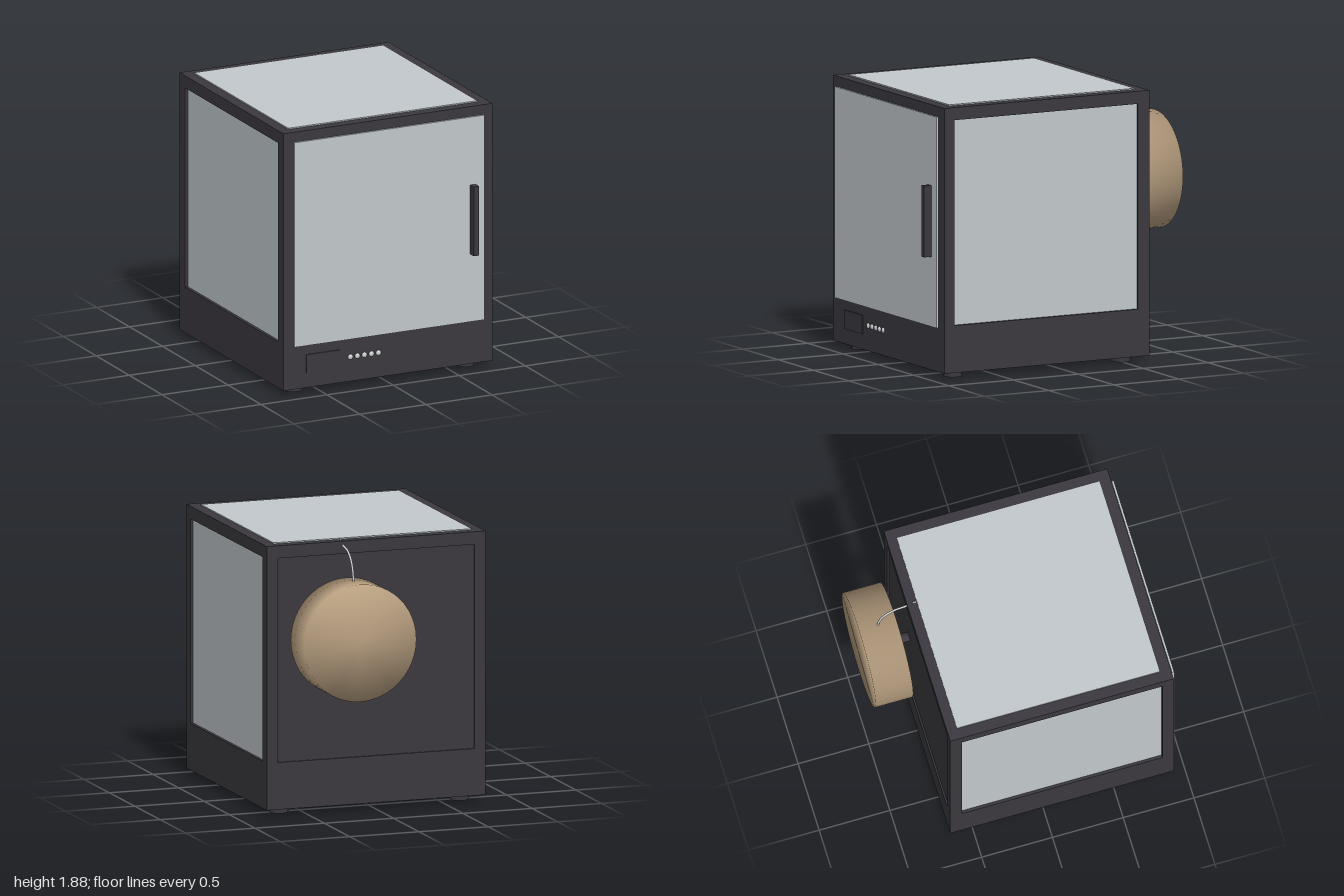
import * as THREE from 'three';
import { mergeVertices } from 'three/addons/utils/BufferGeometryUtils.js';

const paint = (name, color) => {
  const m = new THREE.MeshStandardMaterial({ color });
  m.name = name;
  return m;
};

export function createModel() {
  const model = new THREE.Group();
  model.name = 'printerEnclosure';
  const dark = paint('charcoal', 0x3b393f);
  const pane = paint('paleGlass', 0xc2c9cc);
  const tan = paint('tanFilament', 0xb89f80);
  const silver = paint('silver', 0xd0d2d4);

  const add = (name, geometry, material, x = 0, y = 0, z = 0) => {
    const mesh = new THREE.Mesh(geometry, material);
    mesh.name = name;
    mesh.position.set(x, y, z);
    model.add(mesh);
    return mesh;
  };
  // Box given by its lower and upper limits on each axis
  const box = (name, material, [x0, x1], [y0, y1], [z0, z1]) =>
    add(name, new THREE.BoxGeometry(x1 - x0, y1 - y0, z1 - z0), material,
      (x0 + x1) / 2, (y0 + y1) / 2, (z0 + z1) / 2);

  // Flat frame with a rectangular opening, extruded along z
  const frame = (u0, u1, a0, a1, depth) => {
    const rect = (Type, l, r, b, t) => {
      const p = new Type();
      p.moveTo(l, b);
      p.lineTo(r, b);
      p.lineTo(r, t);
      p.lineTo(l, t);
      p.closePath();
      return p;
    };
    const shape = rect(THREE.Shape, u0, u1, 0.045, 1.867);
    shape.holes.push(rect(THREE.Path, a0, a1, 0.37, 1.78));
    return new THREE.ExtrudeGeometry(shape, { depth, bevelEnabled: false });
  };

  // Cabinet: solid core with raised side and back frames
  box('cabinetCore', dark, [-0.765, 0.765], [0.045, 1.867], [-0.648, 0.92]);
  for (const s of [-1, 1]) {
    const side = add(s > 0 ? 'leftFrame' : 'rightFrame',
      frame(-0.92, 0.66, -0.84, 0.575, 0.025), dark, s > 0 ? 0.765 : -0.79);
    side.rotation.y = Math.PI / 2;
    box(s > 0 ? 'leftWindow' : 'rightWindow', pane,
      s > 0 ? [0.763, 0.77] : [-0.77, -0.763], [0.37, 1.78], [-0.575, 0.84]);
  }
  add('backFrame', frame(-0.766, 0.766, -0.71, 0.71, 0.012), dark, 0, 0, -0.66);
  box('topWindow', pane, [-0.715, 0.715], [1.866, 1.875], [-0.59, 0.842]);

  // Door and handle
  box('door', pane, [-0.72, 0.72], [0.35, 1.8], [0.929, 0.944]);
  box('doorHandle', dark, [0.61, 0.65], [0.83, 1.32], [0.94, 1.0]);

  // Control panel
  box('display', dark, [-0.62, -0.365], [0.15, 0.28], [0.915, 0.928]);
  for (let i = 0; i < 5; i++) {
    const x = -0.285 + i * 0.053;
    add('button', new THREE.SphereGeometry(0.019, 12, 8), silver, x, 0.218, 0.922)
      .scale.z = 0.6;
  }

  // Feet
  for (const x of [-0.65, 0.65]) {
    for (const z of [0.782, -0.517]) {
      add('foot', new THREE.CylinderGeometry(0.064, 0.064, 0.05, 24), dark, x, 0.025, z);
    }
  }

  // Filament spool on its rod, softly shaded across the rim
  const rod = add('spoolRod', new THREE.CylinderGeometry(0.033, 0.033, 0.12, 20), dark, 0.24, 1.222, -0.7);
  rod.rotation.x = Math.PI / 2;
  let drum = new THREE.CylinderGeometry(0.405, 0.405, 0.265, 48);
  drum.rotateX(-Math.PI / 2);
  drum.deleteAttribute('normal');
  drum.deleteAttribute('uv');
  drum = mergeVertices(drum);
  drum.computeVertexNormals();
  add('spool', drum, tan, 0.24, 1.225, -0.8675);

  // Filament strand feeding into the cabinet
  const strand = new THREE.CatmullRomCurve3([
    [1.6, -0.865], [1.68, -0.857], [1.76, -0.82], [1.815, -0.755],
    [1.833, -0.68], [1.845, -0.63], [1.872, -0.605], [1.85, -0.595],
  ].map(([y, z]) => new THREE.Vector3(0.24, y, z)));
  add('filament', new THREE.TubeGeometry(strand, 40, 0.008, 8), silver);

  return model;
}
